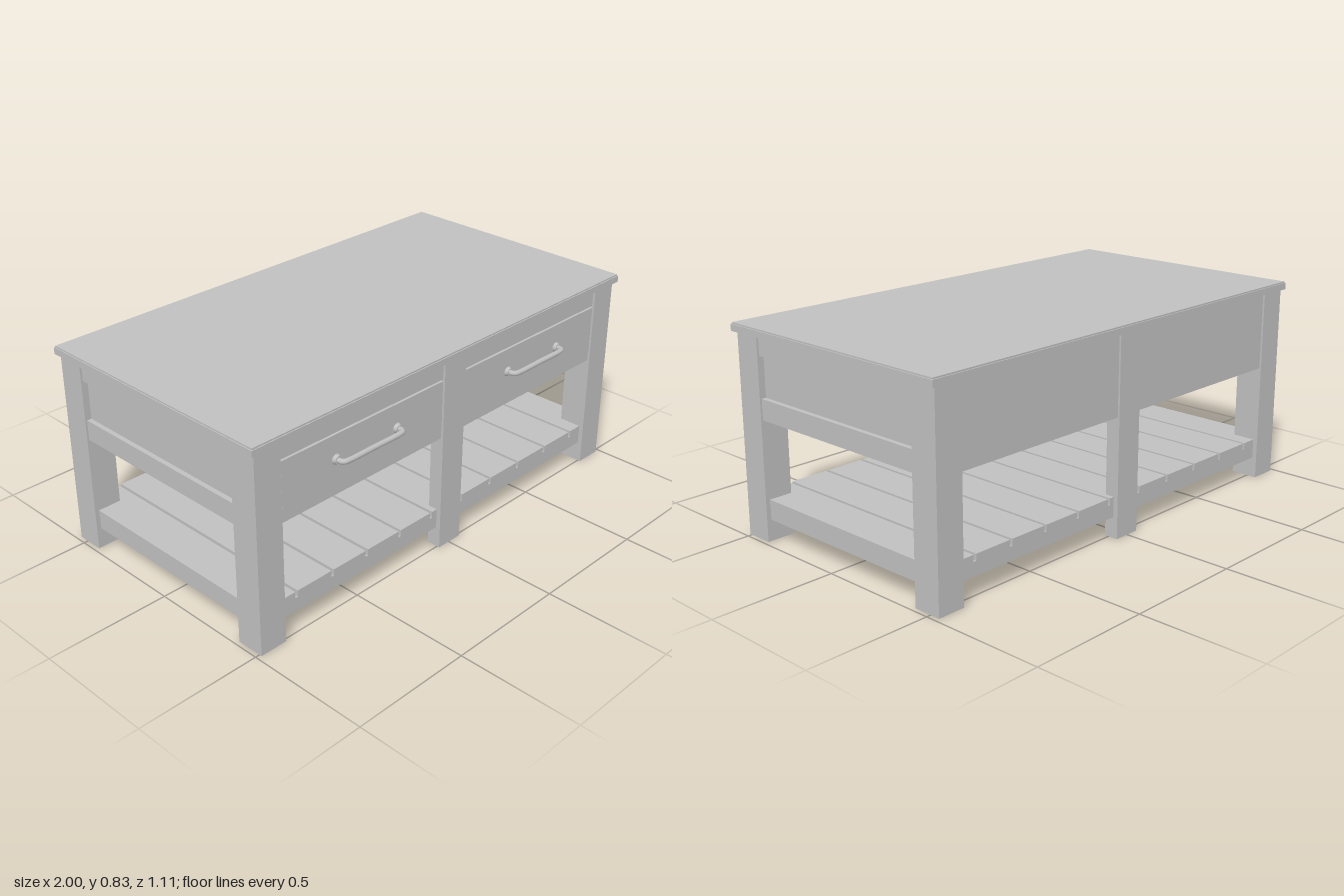
import * as THREE from 'three';

export function createModel() {
  const model = new THREE.Group();
  model.name = 'coffeeTable';
  const grey = new THREE.MeshStandardMaterial({ color: 0xc0c0c0 });
  grey.name = 'paleGrey';

  // Box given by its lower and upper limits on each axis
  const box = (name, x0, x1, y0, y1, z0, z1, parent = model) => {
    const mesh = new THREE.Mesh(new THREE.BoxGeometry(x1 - x0, y1 - y0, z1 - z0), grey);
    mesh.position.set((x0 + x1) / 2, (y0 + y1) / 2, (z0 + z1) / 2);
    mesh.name = name;
    parent.add(mesh);
    return mesh;
  };

  const FRONT = 0.511, BACK = -0.541, SIDE = 0.982, INNER = 0.866;
  const LEG_F = 0.396, LEG_B = -0.426;

  // Table top with a fine stepped upper edge
  box('tableTop', -1, 1, 0.8, 0.827, -0.552, 0.525);
  box('tableTopEdge', -0.996, 0.996, 0.827, 0.833, -0.548, 0.521);

  // Corner legs and shallower middle legs
  for (const s of [-1, 1]) {
    const x0 = s < 0 ? -SIDE : INNER, x1 = s < 0 ? -INNER : SIDE;
    box('frontLeg', x0, x1, 0, 0.8, LEG_F, FRONT);
    box('backLeg', x0, x1, 0, 0.8, BACK, LEG_B);
  }
  box('frontMiddleLeg', -0.056, 0.061, 0, 0.8, FRONT - 0.058, FRONT);
  box('backMiddleLeg', -0.056, 0.061, 0, 0.8, BACK, BACK + 0.058);

  // Closed drawer case, whose sides form the recessed panels
  box('drawerCase', -0.955, 0.955, 0.482, 0.8, BACK + 0.008, 0.485);

  // Rails framing the side panels
  for (const s of [-1, 1]) {
    const x0 = s < 0 ? -0.974 : 0.95, x1 = s < 0 ? -0.95 : 0.974;
    box('sideTopRail', x0, x1, 0.724, 0.8, LEG_B, LEG_F);
    box('sideBottomRail', x0, x1, 0.48, 0.562, LEG_B, LEG_F);
  }

  // Front rails
  box('frontTopRail', -INNER, INNER, 0.727, 0.8, 0.47, 0.501);
  box('frontBottomRail', -INNER, INNER, 0.482, 0.516, 0.47, 0.501);

  // Curved pull handle with round mounts
  const addHandle = (x, face, parent) => {
    const handle = new THREE.Group();
    handle.name = 'handle';
    handle.position.set(x, 0.627, face);
    const path = new THREE.CatmullRomCurve3([
      [-0.152, 0], [-0.152, 0.022], [-0.145, 0.033], [-0.125, 0.037], [0, 0.037],
      [0.125, 0.037], [0.145, 0.033], [0.152, 0.022], [0.152, 0],
    ].map(([px, pz]) => new THREE.Vector3(px, 0, pz)), false, 'centripetal');
    const bar = new THREE.Mesh(new THREE.TubeGeometry(path, 48, 0.0105, 12), grey);
    bar.name = 'handleBar';
    handle.add(bar);
    for (const s of [-1, 1]) {
      const mount = new THREE.Mesh(new THREE.CylinderGeometry(0.015, 0.02, 0.012, 20), grey);
      mount.rotation.x = Math.PI / 2;
      mount.position.set(s * 0.152, 0, 0.006);
      mount.name = 'handleMount';
      handle.add(mount);
    }
    parent.add(handle);
  };

  // Two drawers
  for (const [x0, x1, hx] of [[-0.861, -0.061, -0.457], [0.066, 0.861, 0.472]]) {
    const drawer = new THREE.Group();
    drawer.name = 'drawer';
    box('drawerFront', x0, x1, 0.52, 0.723, 0.47, 0.506, drawer);
    addHandle(hx, 0.506, drawer);
    model.add(drawer);
  }

  // Lower stretchers carrying the shelf
  box('frontStretcher', -INNER, INNER, 0.085, 0.14, 0.455, 0.492);
  box('backStretcher', -INNER, INNER, 0.085, 0.14, -0.522, -0.485);
  box('rightStretcher', -0.963, -0.926, 0.085, 0.14, LEG_B, LEG_F);
  box('leftStretcher', 0.926, 0.963, 0.085, 0.14, LEG_B, LEG_F);

  // Shelf slats
  const pitch = 0.1765, half = 0.082;
  for (let i = -5; i <= 5; i++) {
    box('shelfSlat', i * pitch - half, i * pitch + half, 0.14, 0.166, -0.522, 0.492);
  }

  return model;
}
